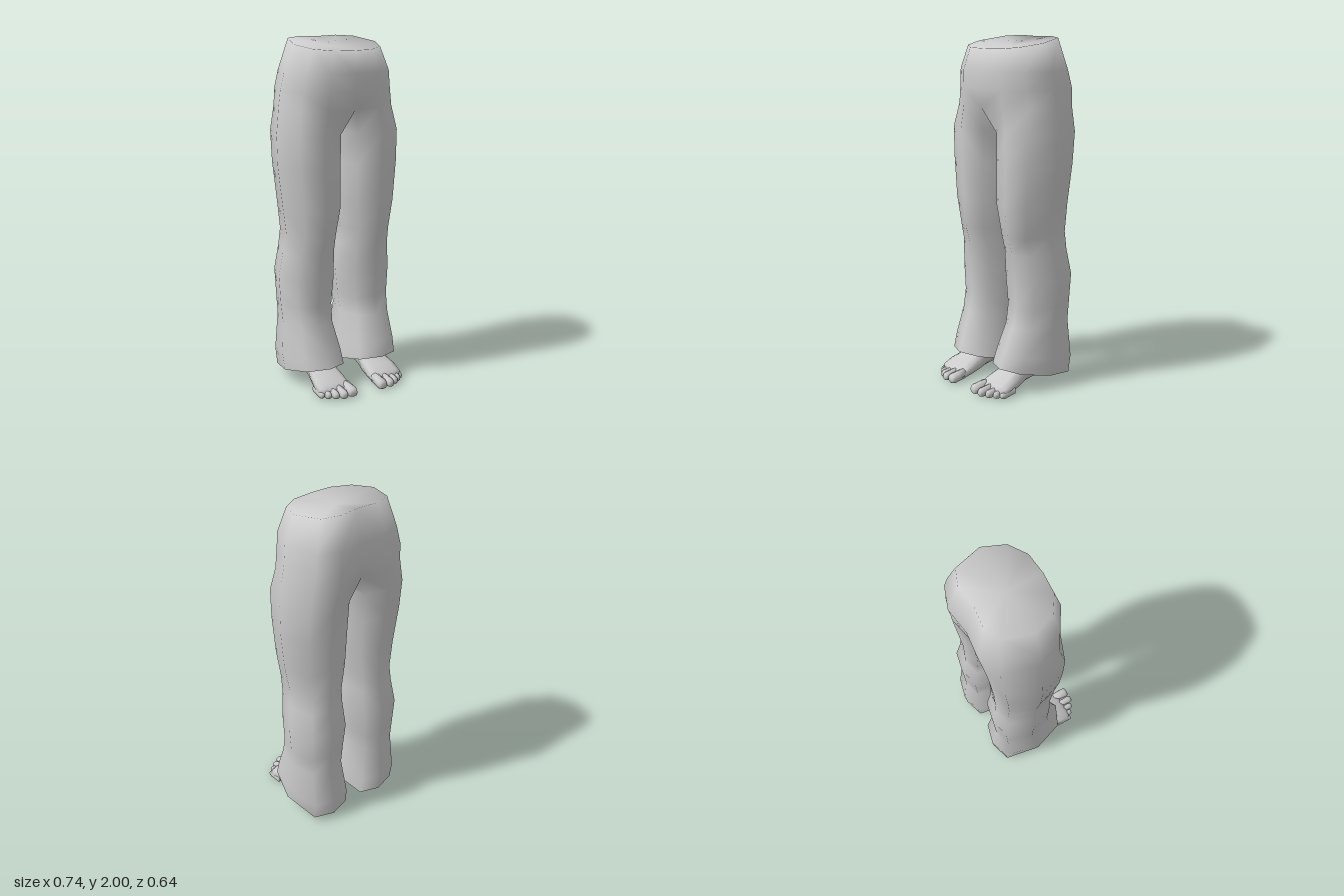
import * as THREE from 'three';
import { mergeGeometries, mergeVertices } from 'three/addons/utils/BufferGeometryUtils.js';

const fabric = new THREE.MeshStandardMaterial({ color: 0xcccccc, side: THREE.DoubleSide });
const skin = new THREE.MeshStandardMaterial({ color: 0xcccccc });

function build(points, index) {
  const g = new THREE.BufferGeometry();
  g.setAttribute('position', new THREE.Float32BufferAttribute(points.flat(), 3));
  g.setIndex(index);
  return g;
}

// Reflect in x and turn the faces the right way round again
function mirrored(geometry) {
  const g = geometry.clone();
  const p = g.attributes.position;
  for (let i = 0; i < p.count; i++) p.setX(i, -p.getX(i));
  const idx = Array.from(g.index.array);
  for (let i = 0; i < idx.length; i += 3) [idx[i], idx[i + 1]] = [idx[i + 1], idx[i]];
  g.setIndex(idx);
  return g;
}

// Leg section: eight corners, front inner round the outside to the inner side
function legRing([y, xi, xo, zf, zb], slope = 0) {
  const xc = (xi + xo) / 2, w = (xo - xi) / 2, zc = (zf + zb) / 2, d = (zf - zb) / 2;
  const corners = [[-0.7, 0.76], [0, 1], [0.7, 0.76], [1, 0], [0.7, -0.86], [0, -1], [-0.7, -0.86], [-1, 0]];
  return corners.map(([u, v]) => [xc + u * w, y + slope * v * d, zc + v * d]);
}

// Hip section: half of the outline, front centre to back centre
function hipRing([y, xo, zf, zb], slope = 0) {
  const zc = (zf + zb) / 2, d = (zf - zb) / 2;
  const corners = [[0, 1], [0.46, 0.95], [0.82, 0.63], [1, 0], [0.82, -0.8], [0.45, -1], [0, -0.92]];
  return corners.map(([u, v]) => [u * xo, y + slope * v * d, zc + v * d]);
}

function trousers() {
  const rings = [
    legRing([0.085, 0.005, 0.35, 0.185, -0.295], 0.23),   // slanted hem
    legRing([0.18, 0.012, 0.355, 0.155, -0.305], 0.2),
    legRing([0.37, 0.045, 0.34, 0.095, -0.275]),
    legRing([0.48, 0.038, 0.345, 0.072, -0.28]),
    legRing([0.65, 0.02, 0.355, 0.08, -0.29]),
    legRing([0.8, 0.03, 0.335, 0.09, -0.262]),
    legRing([0.9, 0.037, 0.32, 0.122, -0.26]),            // knee
    legRing([1.07, 0.006, 0.345, 0.142, -0.262]),
    legRing([1.3, 0.003, 0.368, 0.145, -0.28]),
    legRing([1.48, 0.002, 0.37, 0.15, -0.295]),
  ];
  const crotch = hipRing([1.62, 0.355, 0.157, -0.308]);
  crotch.push([0, 1.54, -0.07]);
  rings.push(crotch,
    hipRing([1.72, 0.34, 0.162, -0.32]),
    hipRing([1.82, 0.322, 0.168, -0.3]),
    hipRing([1.97, 0.262, 0.14, -0.262], -0.15));         // slanted waist

  const points = [], index = [], start = [];
  rings.forEach((r) => { start.push(points.length); points.push(...r); });
  for (let i = 0; i < rings.length - 1; i++) {
    const isLeg = rings[i + 1].length === 8;
    for (let j = 0; j < (isLeg ? 8 : 6); j++) {
      const k = isLeg ? (j + 1) % 8 : j + 1;
      const a = start[i] + j, b = start[i] + k, c = start[i + 1] + j, d = start[i + 1] + k;
      index.push(a, b, d, a, d, c);
    }
  }
  // Slightly dished top
  const top = start[rings.length - 1];
  points.push([0, 1.95, -0.07]);
  for (let j = 0; j < 6; j++) index.push(top + j, top + j + 1, points.length - 1);

  const half = build(points, index);
  const g = mergeVertices(mergeGeometries([half, mirrored(half)]), 1e-4);
  g.computeVertexNormals();
  return g;
}

// Closed loft along z; each section is [z, centre x, half width, bottom y, top y]
function loftZ(sections, sides) {
  const points = [], index = [];
  const n = sections.length;
  const soft = (v) => Math.sign(v) * Math.pow(Math.abs(v), 0.75);
  for (const [z, x, w, y0, y1] of sections) {
    for (let j = 0; j < sides; j++) {
      const t = (j / sides) * Math.PI * 2;
      points.push([x + w * soft(Math.cos(t)), (y0 + y1) / 2 + (y1 - y0) / 2 * soft(Math.sin(t)), z]);
    }
  }
  const mid = ([z, x, , y0, y1]) => [x, (y0 + y1) / 2, z];
  const back = points.push(mid(sections[0])) - 1;
  const front = points.push(mid(sections[n - 1])) - 1;
  for (let j = 0; j < sides; j++) {
    const k = (j + 1) % sides;
    for (let i = 0; i < n - 1; i++) {
      const a = i * sides + j, b = i * sides + k;
      index.push(a, b, b + sides, a, b + sides, a + sides);
    }
    const e = (n - 1) * sides;
    index.push(k, j, back, e + j, e + k, front);
  }
  return build(points, index);
}

function addFoot(group, side) {
  const foot = new THREE.Group();
  foot.name = side > 0 ? 'leftFoot' : 'rightFoot';
  const add = (geometry, name) => {
    const g = side > 0 ? geometry : mirrored(geometry);
    g.computeVertexNormals();
    const mesh = new THREE.Mesh(g, skin);
    mesh.name = name;
    foot.add(mesh);
  };
  add(loftZ([
    [-0.21, 0.17, 0.03, 0.035, 0.1], [-0.17, 0.17, 0.052, 0.02, 0.16], [-0.06, 0.17, 0.06, 0.03, 0.2],
    [0.02, 0.17, 0.072, 0.025, 0.17], [0.1, 0.173, 0.09, 0.012, 0.125], [0.17, 0.177, 0.102, 0.004, 0.095],
    [0.225, 0.177, 0.104, 0.002, 0.066], [0.25, 0.163, 0.088, 0.006, 0.045],
  ], 12), 'footBody');

  // Toes: [centre x, half width, tip z, height]
  [[0.101, 0.031, 0.32, 0.056], [0.157, 0.023, 0.32, 0.05], [0.199, 0.02, 0.3, 0.046],
    [0.235, 0.018, 0.275, 0.043], [0.265, 0.017, 0.25, 0.04]].forEach(([x, w, tip, h], i) => {
    add(loftZ([
      [tip - 0.1, x, w * 0.85, 0.008, h + 0.01], [tip - 0.05, x, w * 0.92, 0.004, h + 0.003],
      [tip - 0.022, x, w, 0, h], [tip - 0.006, x, w * 0.85, 0.003, h * 0.85], [tip, x, w * 0.55, 0.01, h * 0.65],
    ], 8), 'toe' + (i + 1));
  });

  // Ankle inside the trouser leg
  const ankle = new THREE.CylinderGeometry(0.055, 0.06, 0.25, 12);
  ankle.translate(0.17, 0.24, -0.09);
  add(ankle, 'ankle');
  group.add(foot);
}

export function createModel() {
  const group = new THREE.Group();
  group.name = 'trousersWithFeet';
  const cloth = new THREE.Mesh(trousers(), fabric);
  cloth.name = 'trousers';
  group.add(cloth);
  addFoot(group, 1);
  addFoot(group, -1);
  return group;
}
